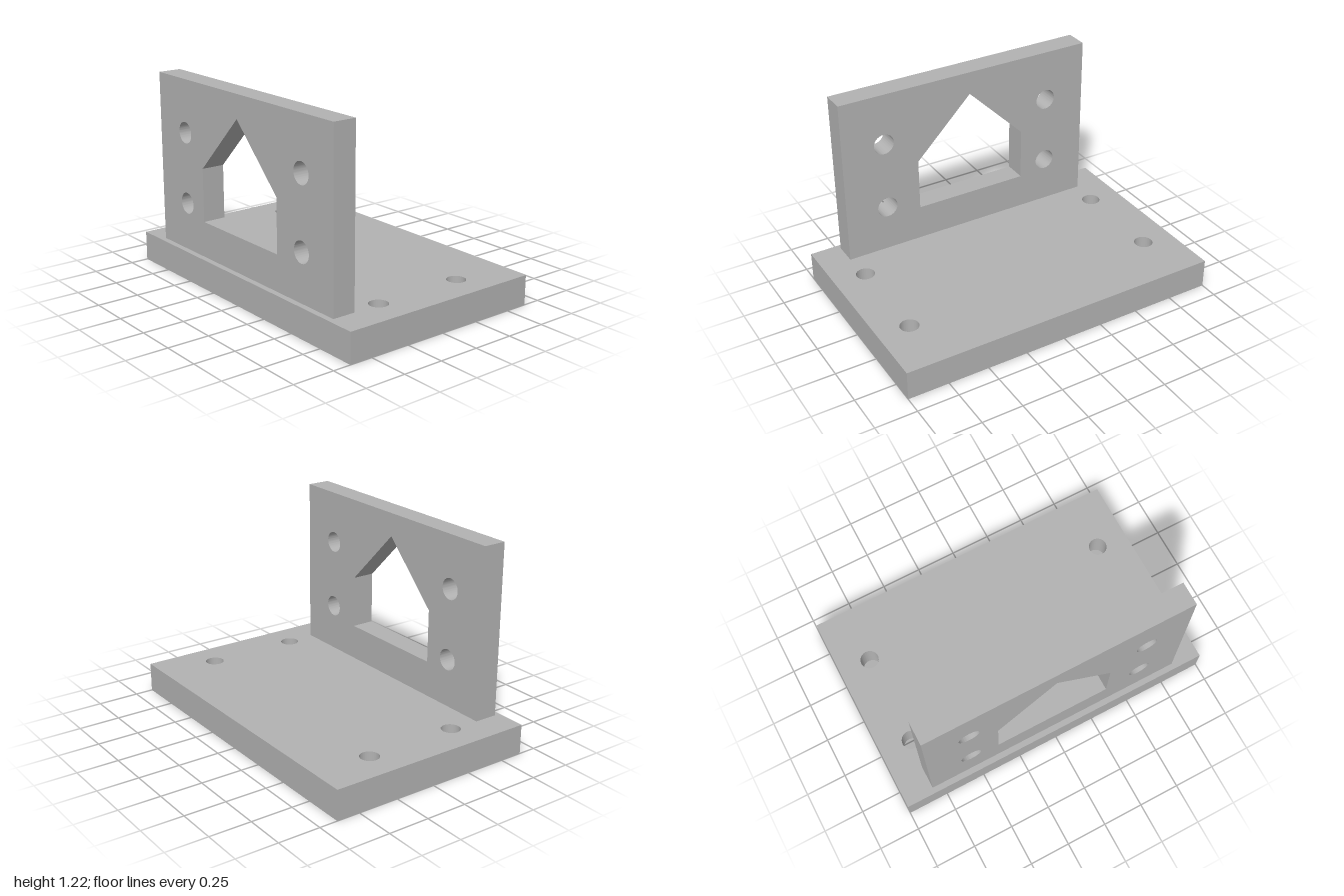
import * as THREE from 'three';
import { toCreasedNormals } from 'three/addons/utils/BufferGeometryUtils.js';

const steel = new THREE.MeshStandardMaterial({ color: 0xb2b2b2 });
steel.name = 'grey metal';

function polygon(points, Type = THREE.Shape) {
  return new Type(points.map(([x, y]) => new THREE.Vector2(x, y)));
}

function rectangle(x, y0, y1) {
  return polygon([[-x, y0], [x, y0], [x, y1], [-x, y1]]);
}

// Four round bolt holes, mirrored left and right
function addBoltHoles(shape, x, heights, radius) {
  for (const side of [-1, 1]) {
    for (const y of heights) {
      shape.holes.push(new THREE.Path().absarc(side * x, y, radius, 0, Math.PI * 2, true));
    }
  }
}

function plate(name, shape, depth) {
  const solid = new THREE.ExtrudeGeometry(shape, { depth, bevelEnabled: false, curveSegments: 32 });
  const mesh = new THREE.Mesh(toCreasedNormals(solid, Math.PI / 6), steel);
  mesh.name = name;
  return mesh;
}

export function createModel() {
  const group = new THREE.Group();
  group.name = 'mounting bracket';

  // Base plate, drawn flat and laid down so the extrusion points up
  const baseShape = rectangle(1, -0.641, 0.641);
  addBoltHoles(baseShape, 0.804, [-0.286, 0.286], 0.056);
  const base = plate('basePlate', baseShape, 0.18);
  base.rotation.x = -Math.PI / 2;
  group.add(base);

  // Upright plate with bolt holes and a house-shaped window, slightly off centre
  const wallShape = rectangle(0.82, 0.18, 1.216);
  addBoltHoles(wallShape, 0.553, [0.468, 0.897], 0.064);
  wallShape.holes.push(polygon(
    [[-0.378, 0.396], [-0.378, 0.717], [-0.02, 1.075], [0.338, 0.717], [0.338, 0.396]], THREE.Path));
  const wall = plate('uprightPlate', wallShape, 0.141);
  wall.position.z = 0.465;
  group.add(wall);

  return group;
}
